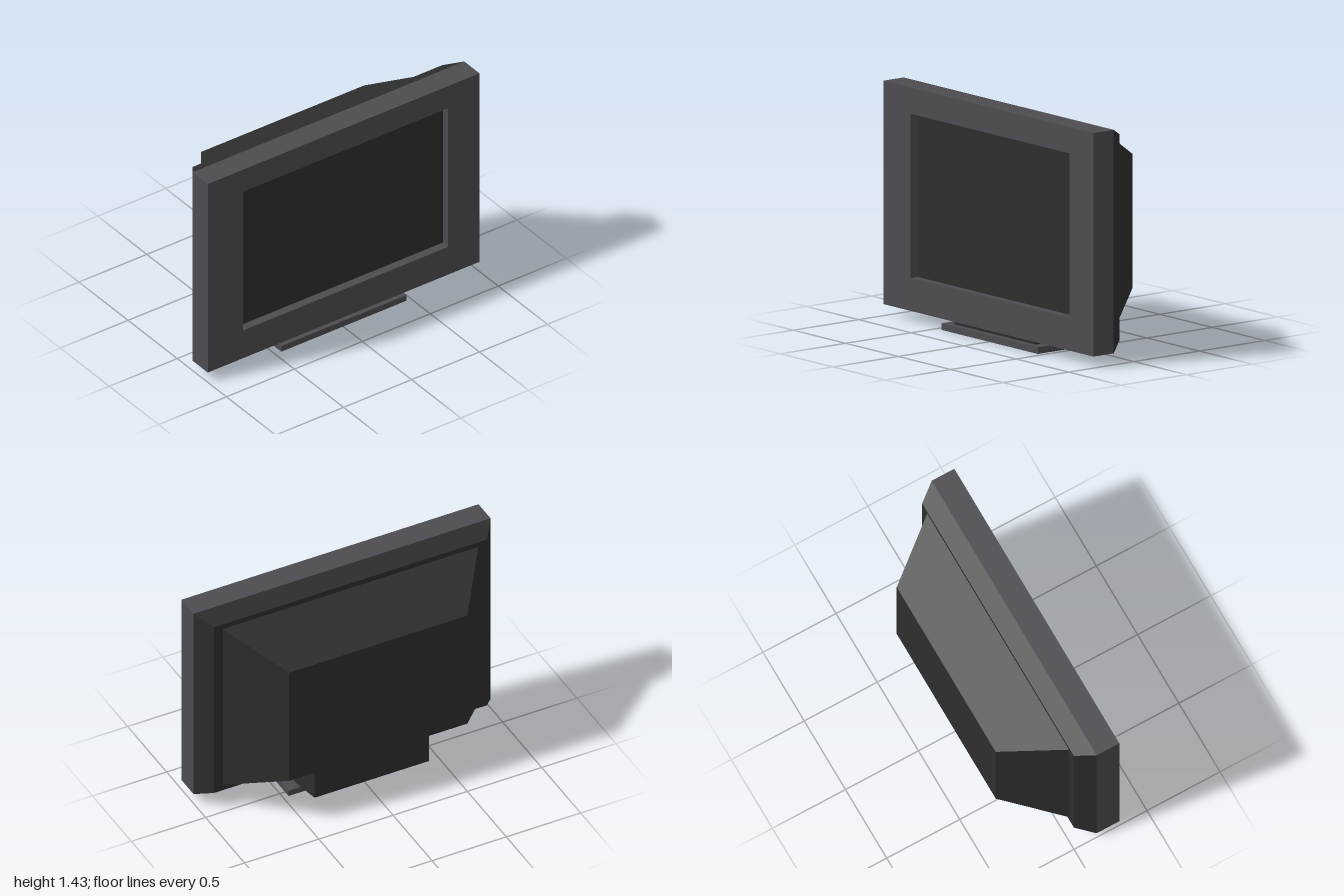
import * as THREE from 'three';

const bezelGrey = new THREE.MeshStandardMaterial({ color: 0x4d4c51 });
bezelGrey.name = 'bezel grey';
const darkGrey = new THREE.MeshStandardMaterial({ color: 0x2e2e2e });
darkGrey.name = 'dark grey';

function part(name, geometry, material) {
  const mesh = new THREE.Mesh(geometry, material);
  mesh.name = name;
  return mesh;
}

function box(x0, x1, y0, y1, z0, z1) {
  return new THREE.BoxGeometry(x1 - x0, y1 - y0, z1 - z0)
    .translate((x0 + x1) / 2, (y0 + y1) / 2, (z0 + z1) / 2);
}

// Tapered block: front and back are { w: half width, y0, y1, z }
function taper(front, back) {
  const g = new THREE.BoxGeometry(2, 1, 1);
  const p = g.attributes.position;
  for (let i = 0; i < p.count; i++) {
    const end = p.getZ(i) > 0 ? front : back;
    p.setXYZ(i, p.getX(i) * end.w, p.getY(i) > 0 ? end.y1 : end.y0, end.z);
  }
  g.computeVertexNormals();
  return g;
}

function polygon(Type, points) {
  return new Type(points.map(([x, y]) => new THREE.Vector2(x, y)));
}

export function createModel() {
  const model = new THREE.Group();
  model.name = 'television';

  // Front bezel with the screen opening
  const outline = polygon(THREE.Shape, [[-1, 0.07], [1, 0.07], [1, 1.43], [-1, 1.43]]);
  outline.holes.push(polygon(THREE.Path, [[-0.74, 0.27], [-0.74, 1.27], [0.77, 1.27], [0.77, 0.27]]));
  const bezel = new THREE.ExtrudeGeometry(outline, { depth: 0.155, bevelEnabled: false });
  bezel.translate(0, 0, 0.155);
  model.add(part('bezel', bezel, bezelGrey));

  // Recessed screen
  model.add(part('screen', box(-0.74, 0.77, 0.27, 1.27, 0.247, 0.255), darkGrey));

  // Stepped rear casing
  model.add(part('rearRim', taper(
    { w: 1, y0: 0.07, y1: 1.43, z: 0.155 },
    { w: 0.92, y0: 0.125, y1: 1.375, z: 0.045 }), darkGrey));
  model.add(part('rearHousing', taper(
    { w: 0.86, y0: 0.165, y1: 1.34, z: 0.045 },
    { w: 0.6, y0: 0.345, y1: 1.16, z: -0.31 }), darkGrey));

  // Stand neck: side profile in (-z, y), swept across x
  const profile = polygon(THREE.Shape, [
    [-0.265, 0.04], [0, 0.04], [0.235, 0.09], [0.235, 0.32], [-0.04, 0.19], [-0.265, 0.09],
  ]);
  const neck = new THREE.ExtrudeGeometry(profile, { depth: 0.77, bevelEnabled: false });
  neck.rotateY(Math.PI / 2).translate(-0.38, 0, 0);
  model.add(part('standNeck', neck, darkGrey));

  // Stand base
  model.add(part('standBase', box(-0.455, 0.465, 0, 0.04, -0.045, 0.305), bezelGrey));

  return model;
}
